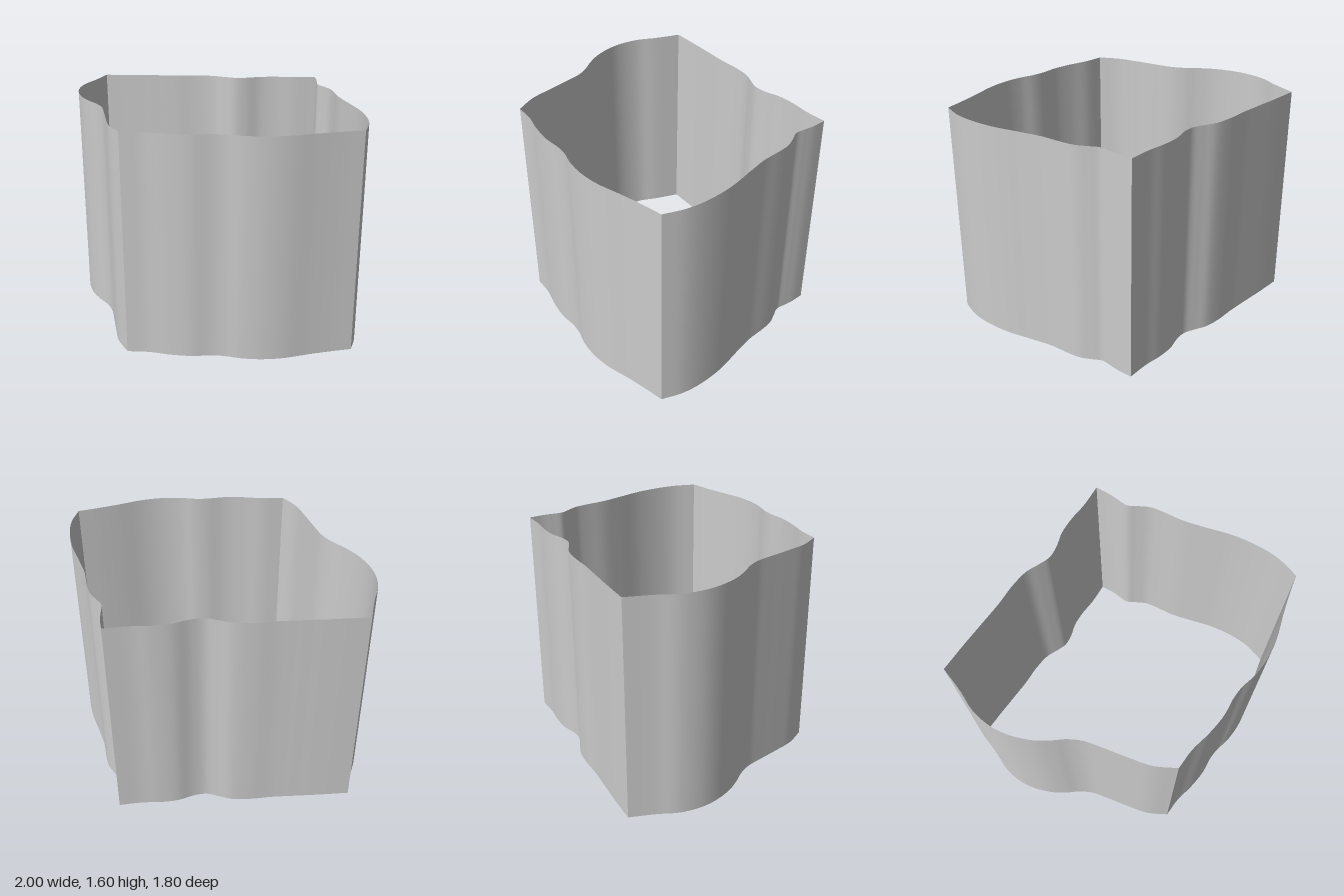
import * as THREE from 'three';

const HEIGHT = 1.6;
const SEGMENTS = 64;

// Shared corners of the outline, as [x, z]
const frontRight = [-0.645, 0.745];
const frontLeft = [0.925, 0.8];
const backLeft = [0.85, -0.73];
const backRight = [-0.825, -0.9];

// Wavy outline of each wall, running counter-clockwise seen from above
const walls = {
  frontWall: [frontRight, [-0.5, 0.762], [-0.35, 0.805], [-0.2, 0.832], [-0.06, 0.832], [0.03, 0.845],
    [0.14, 0.88], [0.28, 0.9], [0.43, 0.893], [0.63, 0.85], [0.79, 0.82], frontLeft],
  leftWall: [frontLeft, [0.98, 0.65], [1, 0.5], [0.992, 0.3], [0.95, 0.09], [0.92, -0.07], [0.912, -0.23],
    [0.9, -0.32], [0.865, -0.4], [0.832, -0.47], [0.84, -0.55], [0.85, -0.63], backLeft],
  backWall: [backLeft, [0.68, -0.735], [0.55, -0.753], [0.42, -0.755], [0.3, -0.73], [0.21, -0.73],
    [0.13, -0.765], [0.04, -0.81], [-0.1, -0.835], [-0.25, -0.842], [-0.42, -0.86], [-0.6, -0.88], backRight],
  rightWall: [backRight, [-0.9, -0.72], [-0.97, -0.58], [-1, -0.43], [-0.992, -0.3], [-0.95, -0.155],
    [-0.89, -0.045], [-0.832, 0.04], [-0.79, 0.135], [-0.768, 0.26], [-0.742, 0.44], [-0.714, 0.594], frontRight],
};

// Bends a flat sheet along a smooth curve through the outline points
function wallGeometry(points) {
  const curve = new THREE.CatmullRomCurve3(points.map(([x, z]) => new THREE.Vector3(x, 0, z)));
  const geometry = new THREE.PlaneGeometry(1, HEIGHT, SEGMENTS, 1);
  const position = geometry.attributes.position;
  for (let i = 0; i < position.count; i++) {
    const p = curve.getPoint((i % (SEGMENTS + 1)) / SEGMENTS);
    position.setXYZ(i, p.x, position.getY(i) + HEIGHT / 2, p.z);
  }
  geometry.computeVertexNormals();
  return geometry;
}

export function createModel() {
  const model = new THREE.Group();
  model.name = 'wavyOpenBox';
  const material = new THREE.MeshStandardMaterial({ color: 0xcccccc, side: THREE.DoubleSide });
  // Four thin walls, open at top and bottom
  for (const [name, points] of Object.entries(walls)) {
    const mesh = new THREE.Mesh(wallGeometry(points), material);
    mesh.name = name;
    model.add(mesh);
  }
  return model;
}
